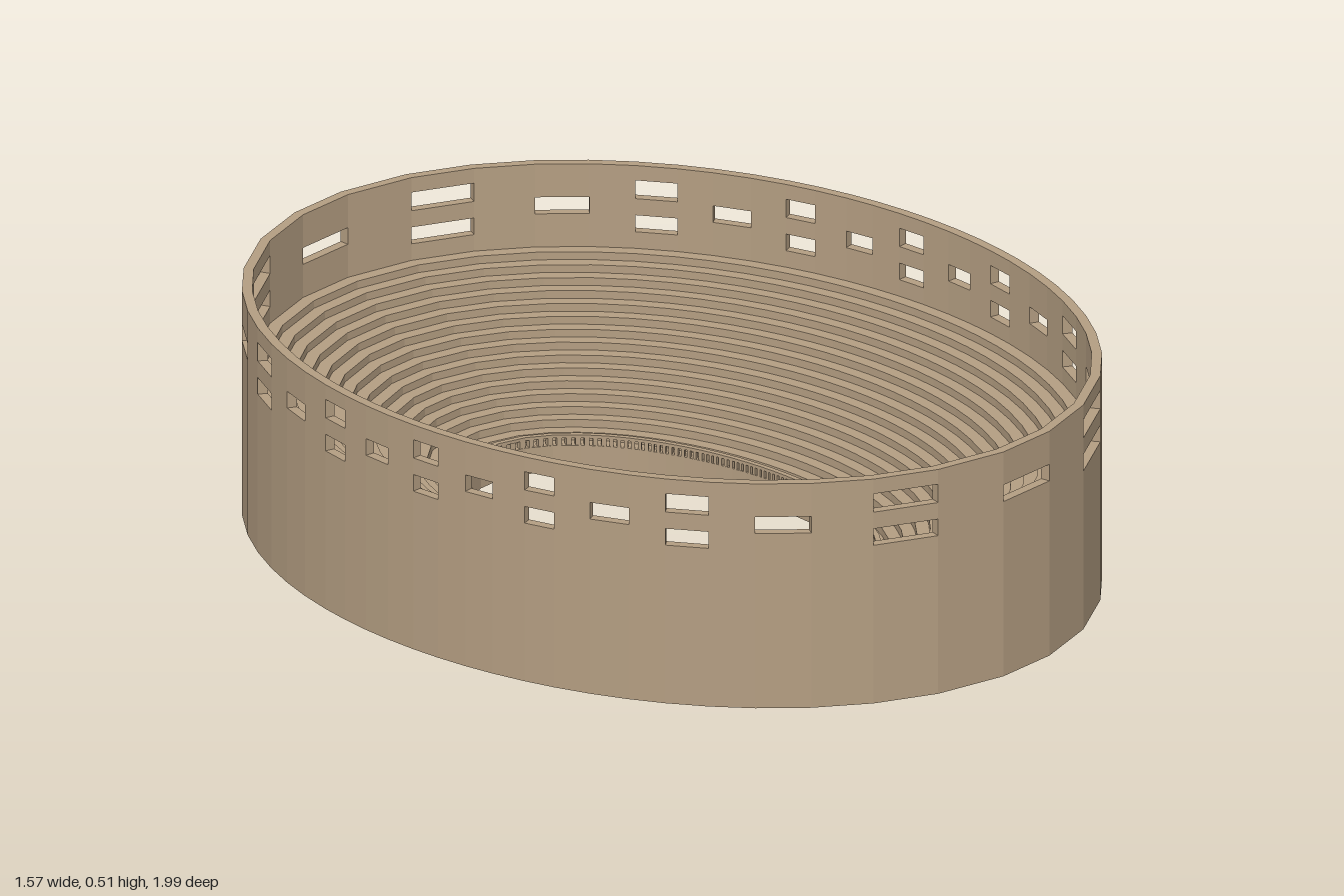
import * as THREE from 'three';
import { mergeGeometries } from 'three/addons/utils/BufferGeometryUtils.js';

const RX = 0.785, RZ = 1;          // outer half axes
const WALL = 0.022, DEPTH = 0.485; // wall thickness, full ring depth
const SILL = 0.363, MID = 0.401, HEAD = 0.439, LINTEL = 0.481, TOP = 0.515;

// start and end angle of each window on one half, going from front to back
const HALF = [
  [-0.083, 0.108], [0.31, 0.51], [0.655, 0.78], [0.885, 0.985], [1.075, 1.16],
  [1.245, 1.318], [1.39, 1.46], [1.536, 1.606], [1.68, 1.75], [1.831, 1.903],
  [1.989, 2.08], [2.165, 2.265], [2.375, 2.51], [2.668, 2.847],
];
const WINDOWS = [...HALF, ...HALF.map(([a, b]) => [a + Math.PI, b + Math.PI])];
const ANGLES = [...WINDOWS.flat(), WINDOWS[0][0] + 2 * Math.PI];

// point on the ellipse lying d inside the outer one
const point = (t, [d, y]) => [(RX - d) * Math.sin(t), y, (RZ - d) * Math.cos(t)];

// sweep a closed profile of [inset, height] along the angles; caps close a short piece
function sweep(profile, angles, caps = false) {
  const pos = [];
  const tri = (...pts) => pts.forEach((p) => pos.push(...p));
  const n = profile.length;
  for (let k = 0; k < angles.length - 1; k++) {
    for (let i = 0; i < n; i++) {
      const a = profile[i], b = profile[(i + 1) % n];
      const a0 = point(angles[k], a), a1 = point(angles[k + 1], a);
      const b0 = point(angles[k], b), b1 = point(angles[k + 1], b);
      tri(a0, a1, b1);
      tri(a0, b1, b0);
    }
  }
  if (caps) {
    const s = profile.map((p) => point(angles[0], p));
    const e = profile.map((p) => point(angles[angles.length - 1], p));
    for (let i = 1; i < n - 1; i++) {
      tri(s[0], s[i], s[i + 1]);
      tri(e[0], e[i + 1], e[i]);
    }
  }
  const g = new THREE.BufferGeometry();
  g.setAttribute('position', new THREE.Float32BufferAttribute(pos, 3));
  g.computeVertexNormals();
  return g;
}

const rect = (d0, d1, y0, y1) => [[d0, y0], [d0, y1], [d1, y1], [d1, y0]];

export function createModel() {
  const group = new THREE.Group();
  const stone = new THREE.MeshStandardMaterial({ color: 0xb49e82 });
  stone.name = 'sandstone';
  const add = (name, geometry) => {
    const mesh = new THREE.Mesh(geometry, stone);
    mesh.name = name;
    group.add(mesh);
  };

  // lower wall and stepped seating in one profile
  const STEPS = 15, LEDGE = 0.06, SEAT_TOP = 0.325;
  const run = (DEPTH - 0.03 - WALL) / STEPS, rise = (SEAT_TOP - LEDGE) / STEPS;
  const bowl = [[0, 0], [0, SILL], [WALL, SILL], [WALL, SEAT_TOP]];
  for (let i = 0; i < STEPS; i++) {
    const d = WALL + run * (i + 1), y = SEAT_TOP - rise * i;
    bowl.push([d, y], [d, y - rise]);
  }
  bowl.push([DEPTH, LEDGE], [DEPTH, 0]);
  add('seatingBowl', sweep(bowl, ANGLES));

  // top band of the wall above the windows
  add('wallCrown', sweep(rect(0, WALL, LINTEL, TOP), ANGLES));

  // piers between windows, and the masonry around single and paired openings
  const piers = [], infill = [];
  WINDOWS.forEach(([a, b], i) => {
    piers.push(sweep(rect(0, WALL, SILL, LINTEL), [b, ANGLES[2 * i + 2]], true));
    if (i % 2) {
      infill.push(sweep(rect(0, WALL, MID, HEAD), [a, b], true));
    } else {
      infill.push(sweep(rect(0, WALL, SILL, MID), [a, b], true));
      infill.push(sweep(rect(0, WALL, HEAD, LINTEL), [a, b], true));
    }
  });
  add('windowPiers', mergeGeometries(piers));
  add('windowInfill', mergeGeometries(infill));

  // balustrade around the arena opening
  add('arenaRail', sweep(rect(DEPTH - 0.012, DEPTH, 0.077, 0.084), ANGLES));
  const posts = [];
  for (let k = 0; k < ANGLES.length - 1; k++) {
    const a = ANGLES[k], step = (ANGLES[k + 1] - a) / 3;
    for (let j = 0; j < 3; j++) {
      const t = a + step * j;
      posts.push(sweep(rect(DEPTH - 0.012, DEPTH, LEDGE, 0.077), [t, t + step * 0.55], true));
    }
  }
  add('arenaPosts', mergeGeometries(posts));

  return group;
}
